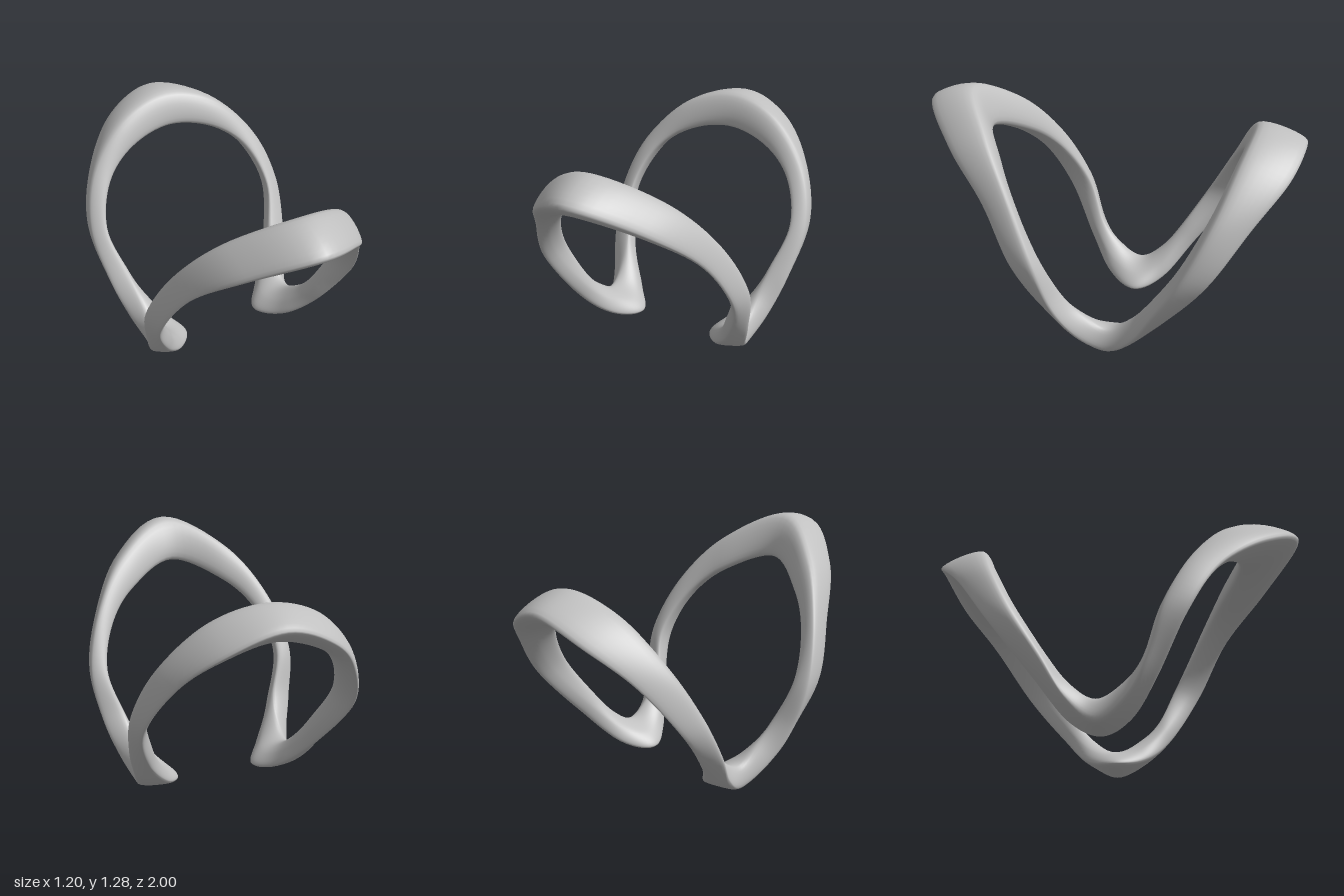
import * as THREE from 'three';

// Sections from the front crown, down one side, to the back crown.
// Each has three corners: outer lip, outer shoulder, inner edge.
const STATIONS = [
  [0, 1.21, 1.0, 0, 1.285, 0.76, 0, 1.07, 0.665],              // front crown
  [0.3, 1.06, 0.81, 0.31, 1.13, 0.6, 0.28, 0.955, 0.53],
  [0.48, 0.83, 0.57, 0.5, 0.88, 0.43, 0.44, 0.79, 0.4],
  [0.565, 0.53, 0.4, 0.595, 0.58, 0.29, 0.51, 0.57, 0.27],
  [0.46, 0.24, 0.24, 0.56, 0.31, 0.2, 0.45, 0.34, 0.17],
  [0.32, 0.08, 0.1, 0.5, 0.13, 0.09, 0.43, 0.22, 0.06],
  [0.22, 0.035, -0.065, 0.45, 0.03, -0.065, 0.43, 0.15, -0.065], // foot
  [0.32, 0.085, -0.22, 0.5, 0.14, -0.21, 0.43, 0.23, -0.19],
  [0.47, 0.27, -0.38, 0.56, 0.34, -0.33, 0.46, 0.38, -0.31],
  [0.56, 0.55, -0.6, 0.59, 0.6, -0.49, 0.51, 0.6, -0.45],
  [0.45, 0.83, -0.79, 0.5, 0.87, -0.62, 0.43, 0.82, -0.57],
  [0.26, 1.02, -0.945, 0.28, 1.1, -0.71, 0.25, 0.96, -0.65],
  [0, 1.12, -1.0, 0, 1.185, -0.75, 0, 1.015, -0.69],            // back crown
];

const ALONG = 192;
const AROUND = 32;

// Closed smooth rail through one corner of every section, mirrored in x
function makeRail(corner) {
  const half = STATIONS.map((s) => new THREE.Vector3().fromArray(s, corner * 3));
  const mirrored = half.slice(1, -1).reverse().map((p) => new THREE.Vector3(-p.x, p.y, p.z));
  return new THREE.CatmullRomCurve3([...half, ...mirrored], true, 'catmullrom', 0.5);
}

// Rounded section: the underside bulges away from the shoulder
function makeSection(lip, shoulder, inner) {
  const middle = lip.clone().lerp(inner, 0.5);
  const underside = shoulder.clone().lerp(middle, 1.3);
  return new THREE.CatmullRomCurve3([lip, shoulder, inner, underside], true, 'centripetal');
}

function makeBandGeometry() {
  const rails = [0, 1, 2].map(makeRail);
  const positions = [];
  const indices = [];
  for (let i = 0; i < ALONG; i++) {
    const section = makeSection(...rails.map((rail) => rail.getPoint(i / ALONG)));
    for (let j = 0; j < AROUND; j++) {
      positions.push(...section.getPoint(j / AROUND).toArray());
      const i2 = (i + 1) % ALONG;
      const j2 = (j + 1) % AROUND;
      const a = i * AROUND + j;
      const b = i2 * AROUND + j;
      const c = i2 * AROUND + j2;
      const d = i * AROUND + j2;
      indices.push(a, b, c, a, c, d);
    }
  }
  const geometry = new THREE.BufferGeometry();
  geometry.setAttribute('position', new THREE.Float32BufferAttribute(positions, 3));
  geometry.setIndex(indices);
  geometry.computeVertexNormals();
  return geometry;
}

export function createModel() {
  const grey = new THREE.MeshStandardMaterial({ color: 0xc0c0c0 });
  grey.name = 'light grey';

  // One endless band: two arches joined by a pair of feet
  const band = new THREE.Mesh(makeBandGeometry(), grey);
  band.name = 'saddleBand';

  const model = new THREE.Group();
  model.name = 'saddleLoop';
  model.add(band);
  return model;
}
